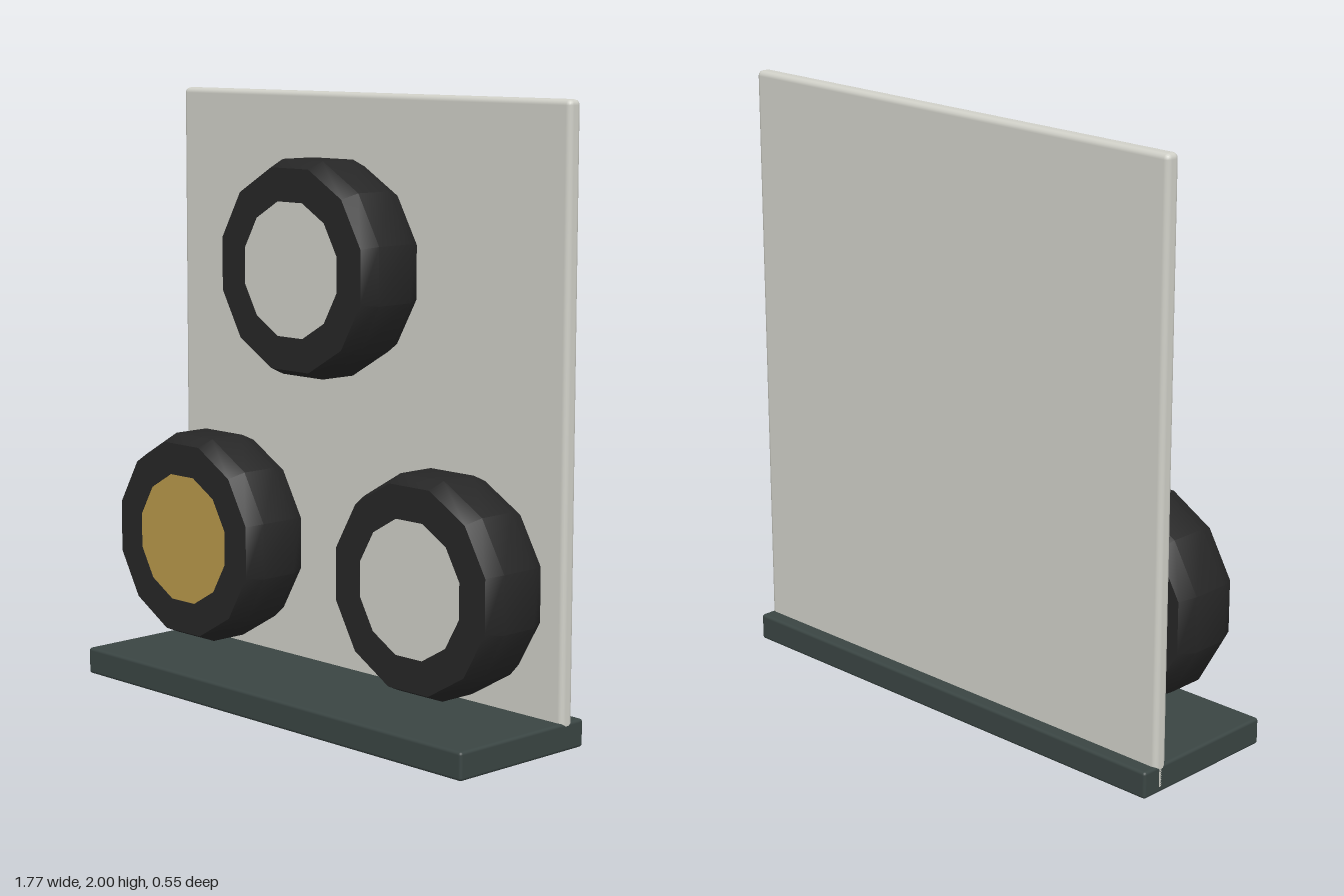
import * as THREE from 'three';
import { toCreasedNormals } from 'three/addons/utils/BufferGeometryUtils.js';
import { RoundedBoxGeometry } from 'three/addons/geometries/RoundedBoxGeometry.js';

const material = (name, color) => {
  const m = new THREE.MeshStandardMaterial({ color });
  m.name = name;
  return m;
};

export function createModel() {
  const paleGrey = material('pale grey', 0xd0d0c8);
  const slate = material('dark slate', 0x3a4543);
  const rubber = material('black rubber', 0x262626);
  const gold = material('gold', 0xb8984a);

  const model = new THREE.Group();
  model.name = 'wheelDisplay';

  const add = (parent, name, geometry, mat, x, y, z) => {
    const mesh = new THREE.Mesh(geometry, mat);
    mesh.name = name;
    mesh.position.set(x, y, z);
    parent.add(mesh);
  };

  // Base plate and upright back panel
  add(model, 'base', new RoundedBoxGeometry(1.77, 0.09, 0.55, 2, 0.01), slate, 0, 0.045, 0);
  add(model, 'backPanel', new RoundedBoxGeometry(1.77, 1.998, 0.052, 2, 0.018), paleGrey, 0, 1.001, -0.2);

  // Twelve-sided tyre with chamfered shoulders, axis along z
  const sides = 12;
  const offset = Math.PI / sides;
  const profile = [
    [0.222, -0.123], [0.332, -0.123], [0.357, -0.066],
    [0.357, 0.066], [0.332, 0.123], [0.222, 0.123], [0.222, -0.123],
  ].map(([r, y]) => new THREE.Vector2(r, y));
  const tyre = toCreasedNormals(
    new THREE.LatheGeometry(profile, sides, offset).rotateX(Math.PI / 2), 0.6);

  // Hub filling the tyre opening, almost flush with its sides
  const hub = new THREE.CylinderGeometry(0.222, 0.222, 0.242, sides, 1, false, offset).rotateX(Math.PI / 2);

  // Three wheels: one above, two below
  const wheels = [
    ['topWheel', 0, 1.45, paleGrey],
    ['lowerRightWheel', -0.535, 0.505, gold],
    ['lowerLeftWheel', 0.535, 0.505, paleGrey],
  ];
  for (const [name, x, y, hubMaterial] of wheels) {
    const wheel = new THREE.Group();
    wheel.name = name;
    wheel.position.set(x, y, 0.022);
    add(wheel, 'tyre', tyre, rubber, 0, 0, 0);
    add(wheel, 'hub', hub, hubMaterial, 0, 0, 0);
    model.add(wheel);
  }
  return model;
}
